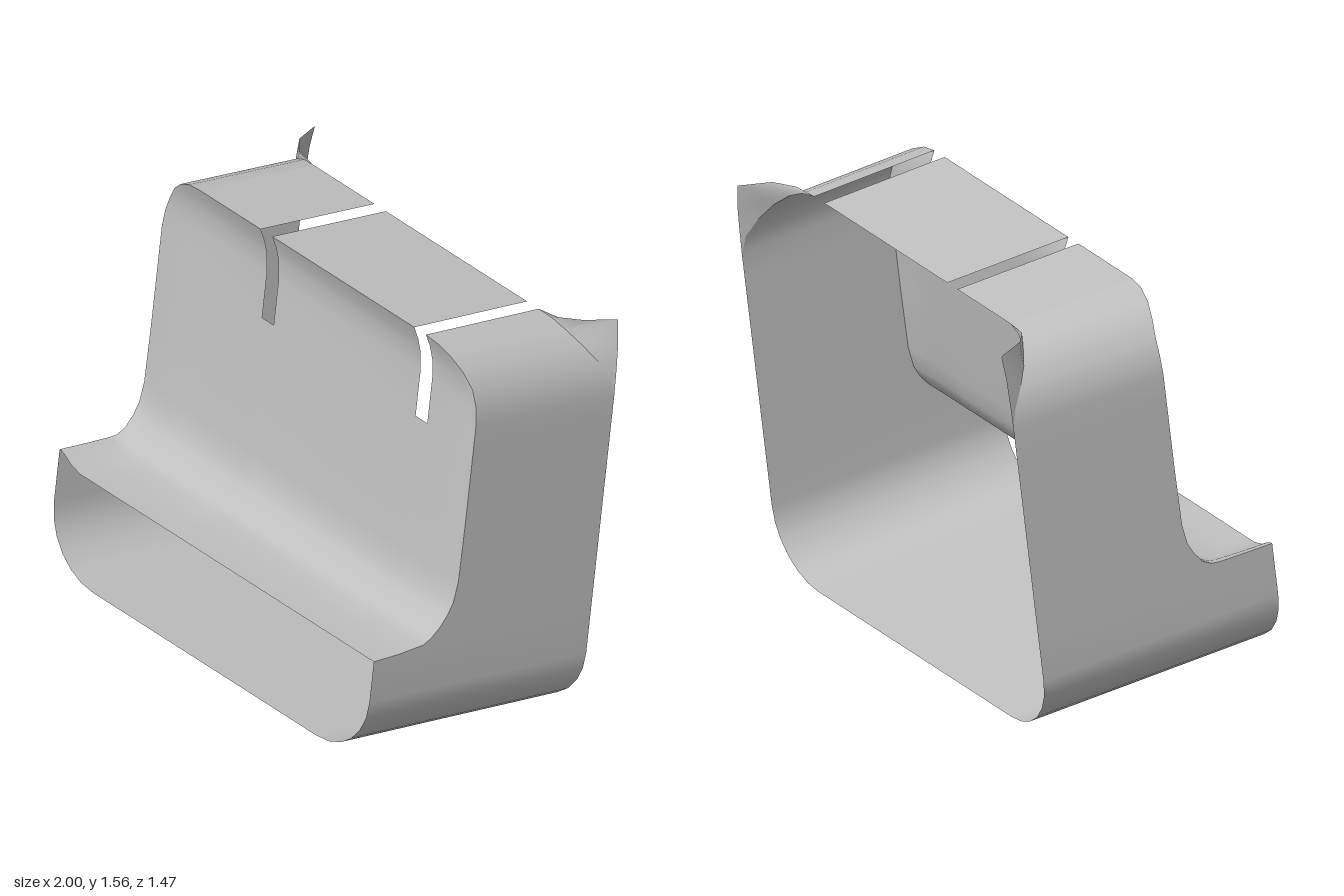
import * as THREE from 'three';

const HALF = 0.915, FLAT = 0.66;   // half width of the shell and of its flat top
const BOTTOM = 0.046, TOP = 1.537, SLOT_END = 1.186;
const REAR = -0.37, TOP_REAR = -0.195, LIP = 0.592;
const SLOTS = [[-0.302, -0.235], [0.592, FLAT]];
// front profile of the side walls: [height, depth] from the lip up to the slot ends
const PROFILE = [[0.443, LIP], [0.45, 0.48], [0.464, 0.376], [0.482, 0.345], [0.516, 0.31],
  [0.56, 0.28], [0.603, 0.26], [0.68, 0.247], [0.9, 0.244], [SLOT_END, 0.244]];
const WALL = 0.244;

const smooth = (x, a, b) => THREE.MathUtils.smoothstep(x, a, b);

// the front panel is softened at its sides and flares forward towards the top
function frontDepth(x, y, depth) {
  const pillow = 0.01 * smooth(HALF - Math.abs(x), 0, 0.12) * smooth(y, 0.46, 0.68);
  const flare = 0.05 * Math.max(0, (y - 1.36) / (TOP - 1.36)) ** 2;
  return depth + pillow + flare;
}

// the shelf curls up a little at its right end
function shelfHeight(x, y) {
  return y < 0.5 ? y + 0.043 * smooth(-x, 0.8, HALF) * (0.5 - y) / 0.057 : y;
}

// the sides draw in slightly towards the rear
const draft = ([x, y, z]) => [x * (1 + 0.012 * (z - LIP)), y, z];

// surface through rows of [x, y, z] points; skip(i, j) leaves a cell open
function sheet(rows, name, material, skip = () => false) {
  const n = rows[0].length, index = [];
  for (let i = 0; i < rows.length - 1; i++) {
    for (let j = 0; j < n - 1; j++) {
      if (skip(i, j)) continue;
      const a = i * n + j, b = a + 1, c = a + n, d = c + 1;
      index.push(a, c, b, b, c, d);
    }
  }
  const geo = new THREE.BufferGeometry();
  geo.setAttribute('position', new THREE.Float32BufferAttribute(rows.flat().flatMap(draft), 3));
  geo.setIndex(index);
  geo.computeVertexNormals();
  const mesh = new THREE.Mesh(geo, material);
  mesh.name = name;
  return mesh;
}

// upper corner arc, from the side wall to the top
const ARC = [];
for (let i = 0; i <= 6; i++) {
  const t = i * Math.PI / 12;
  ARC.push([FLAT + (HALF - FLAT) * Math.cos(t), TOP - 0.26 + 0.26 * Math.sin(t)]);
}
// where each point of that arc ends at the rear, and the edge of the ear beyond it
const ARC_REAR = [REAR, -0.35, -0.305, -0.26, -0.225, -0.205, TOP_REAR];
const EAR = [[HALF, 1.277, REAR], [0.912, 1.37, REAR], [0.906, 1.47, REAR], [0.889, 1.557, -0.37],
  [0.832, 1.553, -0.26], [0.758, 1.543, -0.207], [FLAT, TOP, TOP_REAR]];

// half of the surround, as rows of front, middle and rear points
function halfSurround(side) {
  const rows = [];
  const addRow = (x, y, front, rear) =>
    rows.push([[x, y, front], [x, y, (front + rear) / 2], [x, y, rear]]);
  for (let i = 0; i <= 6; i++) {
    const t = i * Math.PI / 12;
    addRow(side * (0.65 + (HALF - 0.65) * Math.sin(t)), BOTTOM + 0.24 * (1 - Math.cos(t)), LIP, REAR);
  }
  for (const [y, depth] of PROFILE) {
    addRow(side * HALF, shelfHeight(side * HALF, y), depth, REAR);
  }
  ARC.forEach(([x, y], i) => addRow(side * x, y, frontDepth(x, y, WALL), ARC_REAR[i]));
  return rows;
}

export function createModel() {
  const material = new THREE.MeshStandardMaterial({ color: 0xc0c0c0, side: THREE.DoubleSide });
  material.name = 'plain grey';

  const model = new THREE.Group();
  model.name = 'cover';
  model.position.x = 0.01;
  model.rotation.set(THREE.MathUtils.degToRad(-7.1), THREE.MathUtils.degToRad(-12), 0, 'YXZ');

  // sides, floor and upper corners in one band
  const band = [...halfSurround(-1).reverse(), ...halfSurround(1)];
  model.add(sheet(band, 'surround', material));

  // pointed ears where the upper corners open out at the rear
  for (const side of [-1, 1]) {
    const rows = [
      ARC.map(([x, y], i) => [side * x, y, ARC_REAR[i]]),
      EAR.map(([x, y, z]) => [side * x, y, z]),
    ];
    if (side < 0) rows.reverse();
    model.add(sheet(rows, side > 0 ? 'leftEar' : 'rightEar', material));
  }

  // front panel with its shelf, cut by the two slots
  const columns = [
    ...ARC.map(([x, y]) => [-x, y]),
    ...[...SLOTS[0], SLOTS[1][0]].map((x) => [x, TOP]),
    ...ARC.slice().reverse(),
  ];
  const inSlot = (x) => SLOTS.some(([a, b]) => x > a && x < b);
  const panel = columns.map(([x, top]) => {
    const upper = [0.5, 0.7, 0.86, 1].map((t) => [SLOT_END + (top - SLOT_END) * t, WALL]);
    return [...PROFILE, ...upper].map(([y, depth]) =>
      [x, shelfHeight(x, y), frontDepth(x, y, depth)]);
  });
  model.add(sheet(panel, 'frontPanel', material, (i, j) =>
    j >= PROFILE.length - 1 && inSlot((columns[i][0] + columns[i + 1][0]) / 2)));

  // flat top panels between the slots
  for (const [a, b] of [[-FLAT, SLOTS[0][0]], [SLOTS[0][1], SLOTS[1][0]]]) {
    const rows = [a, b].map((x) => [[x, TOP, frontDepth(x, TOP, WALL)], [x, TOP, TOP_REAR]]);
    model.add(sheet(rows, 'topPanel', material));
  }

  const group = new THREE.Group();
  group.add(model);
  return group;
}
